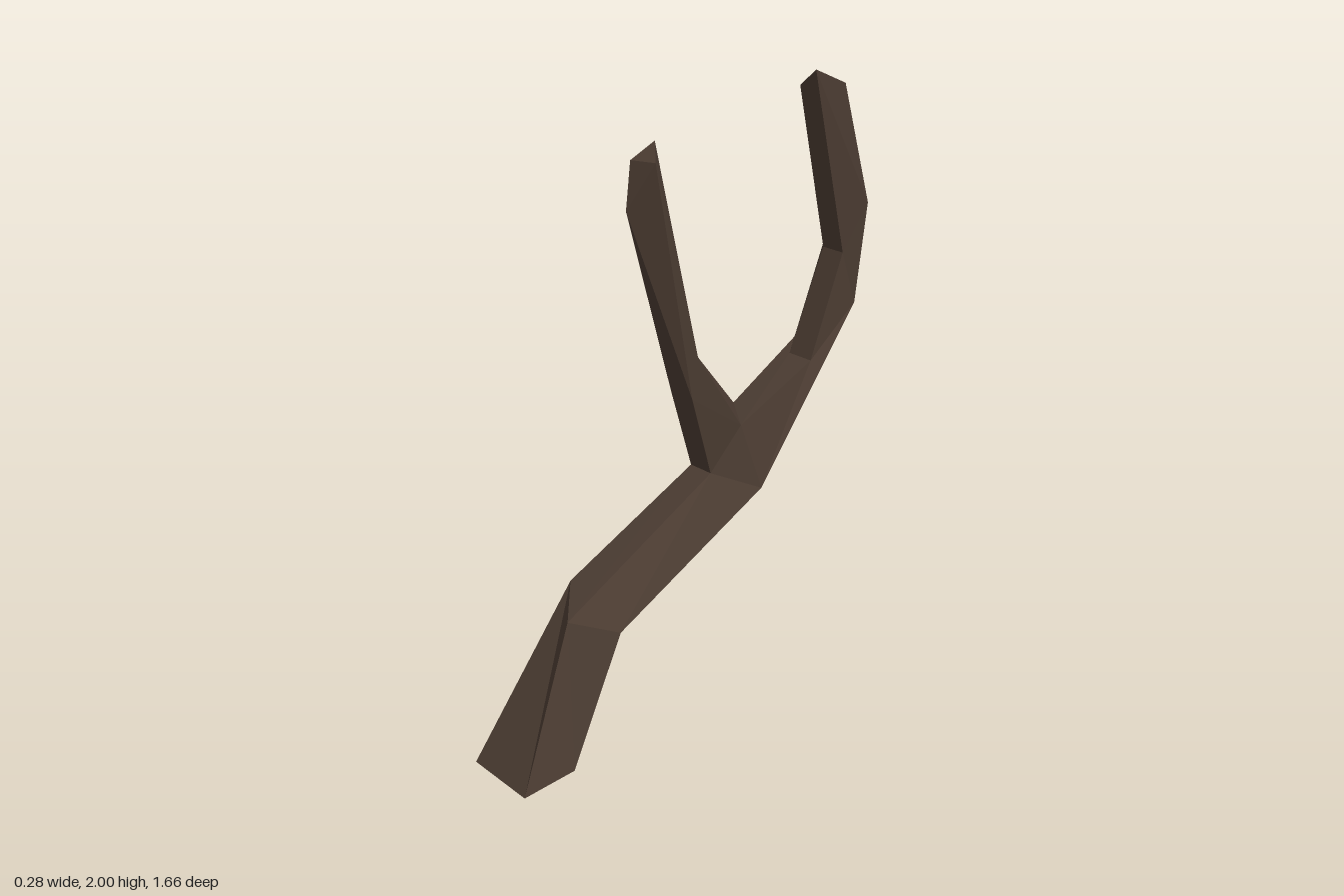
import * as THREE from 'three';

// Cross-sections run front-left, front-right, right, back, left.
const base = [[-0.13, 0, 0.82], [0.12, 0, 0.83], [0.135, 0.01, 0.64], [0, 0.01, 0.54], [-0.14, 0.01, 0.66]];
const knee = [[-0.1, 0.51, 0.43], [0.02, 0.46, 0.55], [0.12, 0.41, 0.42], [0.03, 0.36, 0.34], [-0.105, 0.4, 0.38]];
const fork = [[-0.07, 0.75, -0.08], [0.02, 0.75, -0.08], [0.09, 0.66, -0.25], [0, 0.61, -0.29], [-0.105, 0.69, -0.16]];

// Saddle between the two limbs
const saddleLeft = [-0.07, 0.91, -0.28];
const saddleRight = [0.04, 0.89, -0.2];

const limbRings = [
  [saddleLeft, saddleRight, fork[2], fork[3], fork[4]],
  [[-0.065, 1.01, -0.55], [0.03, 1.01, -0.55], [0.045, 1.17, -0.75], [0, 1.07, -0.71], [-0.075, 1.1, -0.67]],
  [[-0.05, 1.36, -0.69], [0.035, 1.36, -0.69], [0.06, 1.52, -0.78], [-0.04, 1.42, -0.83], [-0.085, 1.4, -0.75]],
  [[-0.06, 1.93, -0.56], [0.03, 2, -0.53], [0.035, 1.935, -0.67], [0, 1.935, -0.68], [-0.06, 1.92, -0.6]],
];

const branchRings = [
  [fork[0], fork[1], saddleRight, saddleLeft],
  [[-0.06, 1.05, 0.02], [0.035, 1.05, 0.02], [0.04, 1.19, 0], [-0.05, 1.15, -0.05]],
  [[-0.03, 1.7, 0.23], [0.045, 1.85, 0.18], [0, 1.9, 0.14], [-0.04, 1.84, 0.16]],
];

// Triangles joining each ring to the next
function loft(rings) {
  const tris = [];
  for (let r = 0; r < rings.length - 1; r++) {
    const a = rings[r], b = rings[r + 1];
    for (let i = 0; i < a.length; i++) {
      const j = (i + 1) % a.length;
      tris.push([a[i], a[j], b[i]], [a[j], b[j], b[i]]);
    }
  }
  return tris;
}

// Fan closing a ring around one point
function cap(ring, centre) {
  return ring.map((p, i) => [p, ring[(i + 1) % ring.length], centre]);
}

function middle(ring) {
  return [0, 1, 2].map((k) => ring.reduce((sum, p) => sum + p[k], 0) / ring.length);
}

function part(name, tris, material) {
  const geometry = new THREE.BufferGeometry();
  geometry.setAttribute('position', new THREE.Float32BufferAttribute(tris.flat(2), 3));
  geometry.computeVertexNormals(); // unshared corners give flat facets
  const mesh = new THREE.Mesh(geometry, material);
  mesh.name = name;
  return mesh;
}

export function createModel() {
  const group = new THREE.Group();
  group.name = 'bareTree';
  const bark = new THREE.MeshStandardMaterial({ color: 0x4a3b31 });
  bark.name = 'dark bark';

  // Bent trunk with its underside and the two fork cheeks
  group.add(part('trunk', [
    ...loft([base, knee, fork]),
    ...cap([...base].reverse(), middle(base)),
    [fork[1], fork[2], saddleRight],
    [fork[0], saddleLeft, fork[4]],
  ], bark));

  // Long limb curving up at the back
  const limbTip = limbRings[3];
  group.add(part('backLimb', [...loft(limbRings), ...cap(limbTip, middle(limbTip))], bark));

  // Straight branch leaning forward, with a blunt tip
  group.add(part('frontBranch', [...loft(branchRings), ...cap(branchRings[2], [-0.03, 1.85, 0.21])], bark));

  return group;
}
